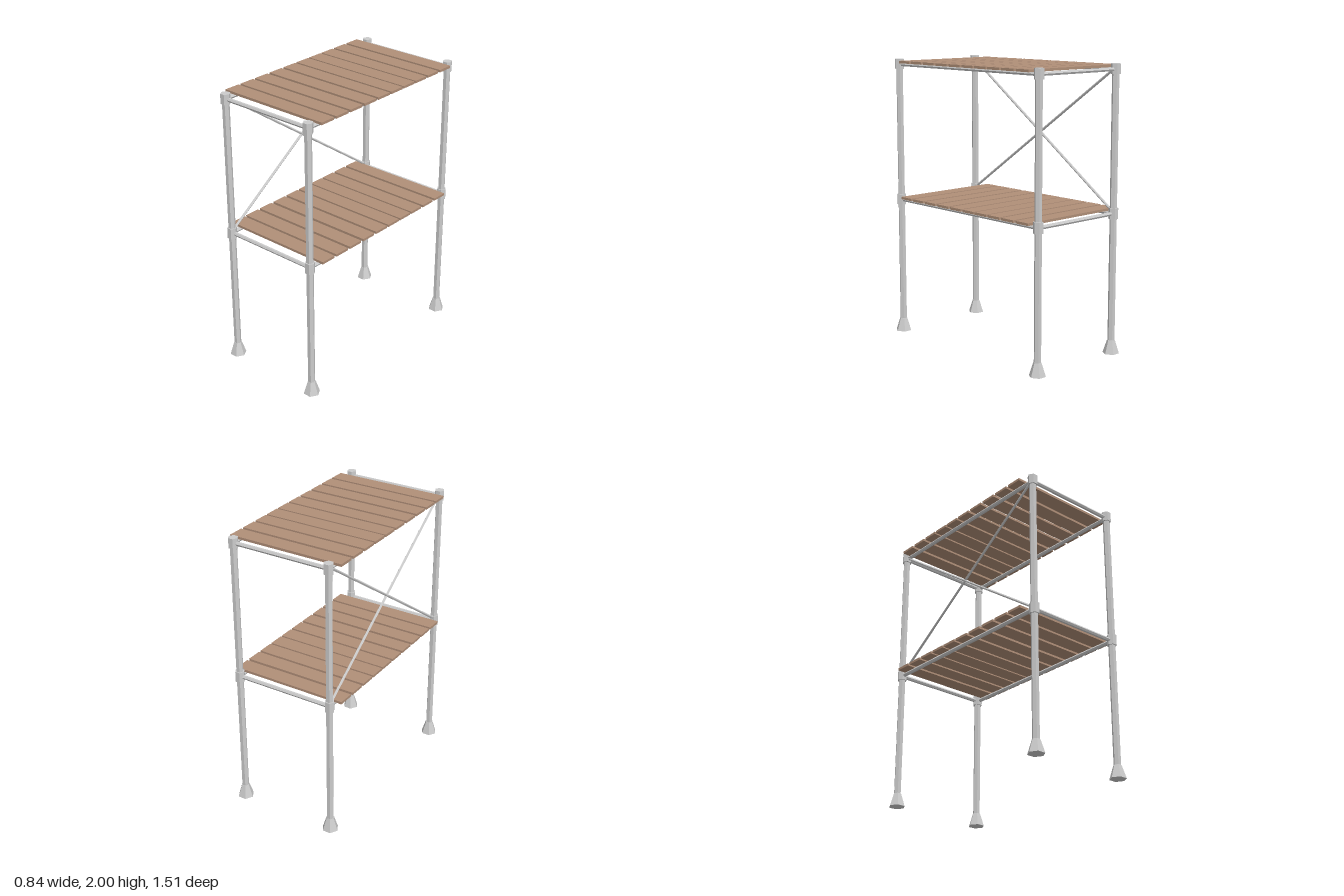
import * as THREE from 'three';

const POST_X = 0.358, POST_Z = 0.707;
const metal = new THREE.MeshStandardMaterial({ color: 0xcccccc, flatShading: true });
const wood = new THREE.MeshStandardMaterial({ color: 0xb08f78, flatShading: true });

// Six-sided bar between two points; turn spins it about its own axis
function hexBar(name, a, b, rBottom, rTop = rBottom, turn = Math.PI / 6) {
  const from = new THREE.Vector3(...a), to = new THREE.Vector3(...b);
  const dir = to.clone().sub(from);
  const geo = new THREE.CylinderGeometry(rTop, rBottom, dir.length(), 6);
  geo.rotateY(turn);
  const mesh = new THREE.Mesh(geo, metal);
  mesh.quaternion.setFromUnitVectors(new THREE.Vector3(0, 1, 0), dir.normalize());
  mesh.position.copy(from).add(to).multiplyScalar(0.5);
  mesh.name = name;
  return mesh;
}

// Upright with its foot and the two joint collars
function createPost(x, z) {
  const post = new THREE.Group();
  post.name = 'post';
  post.add(
    hexBar('upright', [x, 0.05, z], [x, 1.99, z], 0.025),
    hexBar('foot', [x, 0, z], [x, 0.093, z], 0.058, 0.028),
    hexBar('lowerCollar', [x, 0.95, z], [x, 1.026, z], 0.034),
    hexBar('upperCollar', [x, 1.93, z], [x, 2, z], 0.034),
  );
  return post;
}

// Rail frame with unevenly spaced planks on top
function createDeck(name, railY, plankY) {
  const deck = new THREE.Group();
  deck.name = name;
  for (const s of [-1, 1]) {
    deck.add(
      hexBar('sideRail', [s * POST_X, railY, -POST_Z], [s * POST_X, railY, POST_Z], 0.014),
      hexBar('endRail', [-POST_X, railY, s * POST_Z], [POST_X, railY, s * POST_Z], 0.014, 0.014, 0),
    );
  }
  const plankZ = [-0.61, -0.474, -0.341, -0.213, -0.086, 0.045, 0.18, 0.317, 0.452, 0.585];
  for (const z of plankZ) {
    const plank = new THREE.Mesh(new THREE.BoxGeometry(0.834, 0.017, 0.114), wood);
    plank.position.set(-0.006, plankY, z);
    plank.name = 'plank';
    deck.add(plank);
  }
  return deck;
}

export function createModel() {
  const model = new THREE.Group();
  model.name = 'scaffold';

  for (const x of [-POST_X, POST_X])
    for (const z of [-POST_Z, POST_Z]) model.add(createPost(x, z));

  model.add(createDeck('lowerDeck', 0.986, 1.009), createDeck('upperDeck', 1.962, 1.982));

  // Crossed braces on the right-hand side only
  for (const s of [-1, 1])
    model.add(hexBar('brace', [-POST_X, 1.0, -s * 0.7], [-POST_X, 1.97, s * 0.7], 0.009));

  return model;
}
